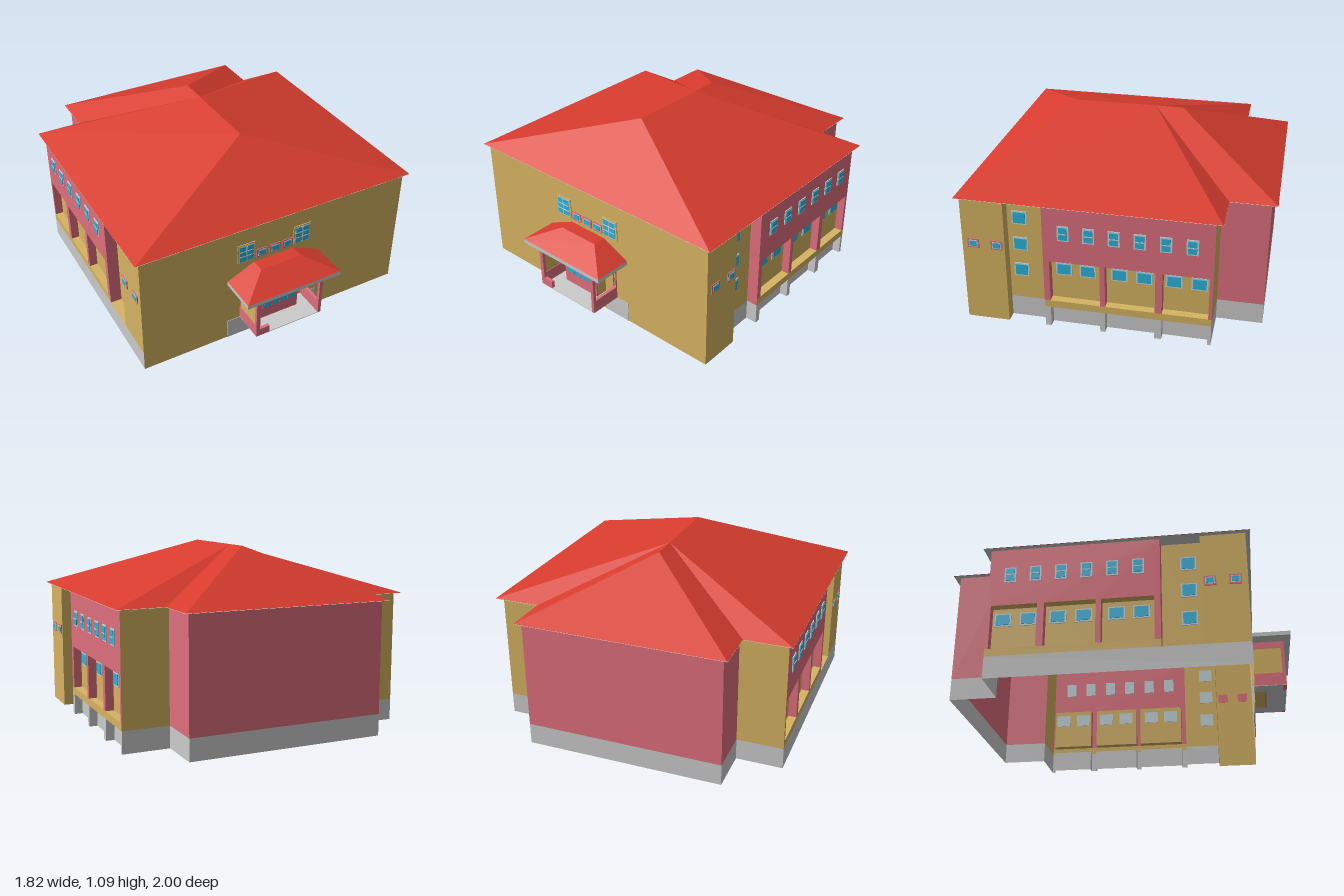
import * as THREE from 'three';

const GOLD = 0xd6b362, PINK = 0xdf6f7d, RED = 0xd83c2e, BLUE = 0x2ab4dc, PALE = 0xc4d6dc, GREY = 0xcccccc;
const H = 0.8, BASE = 0.13, X = 0.88, FRONT = 0.765, BACK = -0.69;
const ALCOVES = [[0.25, -0.045], [-0.075, -0.365], [-0.405, -0.67]];
const SILL = 0.175, HEAD = 0.44, IN = 0.83;

const mats = {};
const mat = (color) => (mats[color] ??= new THREE.MeshStandardMaterial({ color, side: THREE.DoubleSide, flatShading: true }));

function add(parent, name, geometry, color) {
  const mesh = new THREE.Mesh(geometry, mat(color));
  mesh.name = name;
  parent.add(mesh);
  return mesh;
}

// Box given by its limits
function box(parent, name, color, x0, x1, y0, y1, z0, z1) {
  const g = new THREE.BoxGeometry(Math.abs(x1 - x0), y1 - y0, Math.abs(z1 - z0));
  g.translate((x0 + x1) / 2, (y0 + y1) / 2, (z0 + z1) / 2);
  return add(parent, name, g, color);
}

// Flat-shaded surface from polygons, each fanned into triangles
function facets(parent, name, color, polys) {
  const pos = [];
  for (const p of polys)
    for (let i = 1; i < p.length - 1; i++) pos.push(...p[0], ...p[i], ...p[i + 1]);
  const g = new THREE.BufferGeometry();
  g.setAttribute('position', new THREE.Float32BufferAttribute(pos, 3));
  g.computeVertexNormals();
  return add(parent, name, g, color);
}

// Vertical wall along a plan path of [x, z] points
function wall(parent, name, color, path, y0, y1) {
  const polys = [];
  for (let i = 0; i < path.length - 1; i++) {
    const [a, b] = path[i], [c, d] = path[i + 1];
    polys.push([[a, y0, b], [c, y0, d], [c, y1, d], [a, y1, b]]);
  }
  return facets(parent, name, color, polys);
}

const rect = (C, u0, u1, v0, v1) =>
  new C([[u0, v0], [u1, v0], [u1, v1], [u0, v1]].map(([u, v]) => new THREE.Vector2(u, v)));

// Wall in the z-y plane with rectangular holes
function sidePanel(parent, name, color, x, limits, holes) {
  const shape = rect(THREE.Shape, ...limits);
  holes.forEach((h) => shape.holes.push(rect(THREE.Path, ...h)));
  const g = new THREE.ShapeGeometry(shape);
  g.rotateY(-Math.PI / 2).translate(x, 0, 0);
  return add(parent, name, g, color);
}

// Framed window facing +z, turned to face along x by side
function windowUnit(parent, name, [x, y, z], w, h, { frame = PALE, side = 0, cols = 1, rows = 1, inner = false } = {}) {
  const g = new THREE.Group();
  g.name = name;
  box(g, 'frame', frame, -w / 2, w / 2, -h / 2, h / 2, -0.004, 0.005);
  const e = 0.008;
  if (inner) box(g, 'innerFrame', PALE, -w / 2 + e, w / 2 - e, -h / 2 + e, h / 2 - e, 0, 0.007);
  const m = inner ? 0.013 : 0.009, pw = w - 2 * m, ph = h - 2 * m;
  box(g, 'glass', BLUE, -pw / 2, pw / 2, -ph / 2, ph / 2, 0, 0.009);
  for (let i = 1; i < cols; i++) {
    const u = -pw / 2 + (pw * i) / cols;
    box(g, 'bar', frame === GOLD ? PALE : frame, u - 0.003, u + 0.003, -ph / 2, ph / 2, 0, 0.011);
  }
  for (let i = 1; i < rows; i++) {
    const v = -ph / 2 + (ph * i) / rows;
    box(g, 'bar', frame === GOLD ? PALE : frame, -pw / 2, pw / 2, v - 0.003, v + 0.003, 0, 0.011);
  }
  g.position.set(x, y, z);
  g.rotation.y = (side * Math.PI) / 2;
  parent.add(g);
}

function sideWing(s) {
  const g = new THREE.Group();
  g.name = s > 0 ? 'leftSide' : 'rightSide';
  const x = s * X, xi = s * IN, xr = s * 0.81;
  // Corner block and recessed stair bay
  wall(g, 'cornerBlock', GOLD, [[x, FRONT], [x, 0.51], [xr, 0.51], [xr, 0.285]], BASE, H);
  wall(g, 'bayReturn', PINK, [[xr, 0.285], [x, 0.285]], BASE, H);
  // Long wall with three alcoves over a sill band
  sidePanel(g, 'longWall', PINK, x, [BACK, 0.285, SILL, H], ALCOVES.map(([a, b]) => [b, a, SILL, HEAD]));
  wall(g, 'sillBand', GOLD, [[x, 0.285], [x, BACK]], BASE, SILL);
  for (const [a, b] of ALCOVES) {
    wall(g, 'alcoveBack', GOLD, [[xi, a], [xi, b]], SILL, HEAD);
    for (const z of [a, b]) wall(g, 'alcoveReveal', PINK, [[x, z], [xi, z]], SILL, HEAD);
    for (const y of [SILL, HEAD]) facets(g, 'alcoveLedge', GOLD, [[[x, y, a], [xi, y, a], [xi, y, b], [x, y, b]]]);
  }
  // Plinth: stepped behind piers on one side, flush on the other
  if (s > 0) {
    wall(g, 'cornerFoot', GOLD, [[x, FRONT], [x, 0.51], [xr, 0.51]], 0, BASE);
    const path = [[xr, 0.51], [xr, 0.285], [x, 0.285]];
    for (const [a, b] of ALCOVES) {
      path.push([x, a], [xi, a], [xi, b], [x, b]);
      facets(g, 'plinthSoffit', GOLD, [[[x, BASE, a], [xi, BASE, a], [xi, BASE, b], [x, BASE, b]]]);
    }
    path.push([x, BACK]);
    wall(g, 'plinth', GREY, path, 0, BASE);
  } else {
    wall(g, 'plinth', GREY, [[x, FRONT], [x, BACK]], 0, BASE);
    facets(g, 'bayFloor', GOLD, [[[x, BASE, 0.51], [xr, BASE, 0.51], [xr, BASE, 0.285], [x, BASE, 0.285]]]);
  }
  // Rear return wall beside the back wing
  wall(g, 'rearReturn', GOLD, [[x, BACK], [s * 0.6, BACK]], BASE, H);
  wall(g, 'rearReturnPlinth', GREY, [[x, BACK], [s * 0.6, BACK]], 0, BASE);
  // Windows
  for (let i = 0; i < 6; i++)
    windowUnit(g, 'upperWindow', [x, 0.63, 0.162 - 0.146 * i], 0.068, 0.095, { side: s, rows: 2 });
  for (const z of [0.175, 0.035, -0.15, -0.295, -0.465, -0.61])
    windowUnit(g, 'lowerWindow', [xi, 0.37, z], 0.095, 0.08, { side: s });
  for (const y of [0.665, 0.495, 0.322]) windowUnit(g, 'stairWindow', [xr, y, 0.437], 0.09, 0.085, { side: s });
  for (const z of [0.697, 0.557])
    windowUnit(g, 'smallWindow', [x, 0.508, z], 0.068, 0.058, { side: s, frame: PINK, inner: true });
  return g;
}

function porch() {
  const g = new THREE.Group();
  g.name = 'porch';
  const zf = 0.96, top = 0.415;
  // Ground-level grey wall patches
  box(g, 'plinthPatch', GREY, -0.335, 0.09, 0, BASE, FRONT - 0.003, FRONT + 0.003);
  box(g, 'plinthPatch', GREY, 0.11, 0.29, 0, BASE, FRONT - 0.003, FRONT + 0.003);
  box(g, 'doorBacking', GREY, -0.15, 0.1, 0, 0.42, FRONT - 0.006, FRONT - 0.002);
  box(g, 'floor', GREY, -0.25, 0.2, BASE, BASE + 0.004, FRONT, zf);
  // Front posts, lintel and low rail
  box(g, 'post', PINK, -0.25, -0.225, BASE, top, zf - 0.02, zf);
  box(g, 'post', PINK, 0.18, 0.2, BASE, top, zf - 0.02, zf);
  box(g, 'lintel', PINK, -0.25, 0.2, 0.37, top, zf - 0.02, zf);
  box(g, 'rail', PINK, -0.225, -0.16, BASE, 0.18, zf - 0.02, zf);
  // Side walls, one with an open window and one with a filled panel
  for (const x of [-0.25, -0.23, 0.18, 0.2])
    sidePanel(g, 'sideWall', PINK, x, [FRONT, zf, BASE, top], [[0.775, 0.943, 0.21, 0.37]]);
  for (const x of [-0.25, 0.18]) box(g, 'parapetTop', PINK, x, x + 0.02, 0.2, 0.21, FRONT, zf);
  box(g, 'infillPanel', GOLD, -0.246, -0.234, 0.2, 0.38, 0.77, 0.95);
  // Entrance
  box(g, 'vestibule', GOLD, -0.16, 0.105, BASE, top, FRONT, 0.835);
  box(g, 'doorSurround', PINK, -0.16, 0.105, BASE, top, 0.835, 0.842);
  windowUnit(g, 'door', [-0.022, 0.292, 0.842], 0.24, 0.168, { frame: PINK, cols: 4, rows: 3 });
  // Hipped roof on a grey slab
  box(g, 'roofSlab', GREY, -0.335, 0.29, top, 0.44, FRONT, 1);
  const a = [-0.335, 0.44, FRONT], b = [-0.335, 0.44, 1], c = [0.29, 0.44, 1], d = [0.29, 0.44, FRONT];
  const e = [-0.16, 0.52, 0.845], f = [0.11, 0.52, 0.845], h = [-0.16, 0.52, FRONT], k = [0.11, 0.52, FRONT];
  facets(g, 'porchRoof', RED, [[b, c, f, e], [a, b, e, h], [c, d, k, f], [h, e, f, k]]);
  return g;
}

function mainRoof(parent) {
  const R = 1.09, A = [0, R, 0.305], B = [0, R, -0.2], C = [0, R, -0.37];
  const p = (x, z) => [x, H, z];
  const polys = [[p(-0.91, 0.79), p(0.91, 0.79), A], [p(0.63, -1), p(-0.63, -1), C]];
  for (const s of [1, -1]) {
    const half = [
      [p(s * 0.91, 0.79), p(s * 0.91, -0.73), B, A],
      [p(s * 0.91, -0.73), p(s * 0.63, -0.73), B],
      [p(s * 0.63, -0.73), p(s * 0.63, -1), C, B],
    ];
    polys.push(...(s > 0 ? half : half.map((q) => q.reverse())));
  }
  facets(parent, 'roof', RED, polys);
  // Ceiling and eave underside
  const y = H - 0.002;
  facets(parent, 'ceiling', GREY, [
    [[-0.91, y, -0.73], [0.91, y, -0.73], [0.91, y, 0.79], [-0.91, y, 0.79]],
    [[-0.63, y, -1], [0.63, y, -1], [0.63, y, -0.73], [-0.63, y, -0.73]],
  ]);
}

export function createModel() {
  const model = new THREE.Group();
  model.name = 'building';
  // Front wall and its windows
  wall(model, 'frontWall', GOLD, [[-X, FRONT], [X, FRONT]], 0, H);
  for (const x of [-0.215, 0.162])
    windowUnit(model, 'gridWindow', [x, 0.61, FRONT], 0.118, 0.13, { frame: GOLD, cols: 2, rows: 3, inner: true });
  for (const x of [-0.11, -0.022, 0.064])
    windowUnit(model, 'smallFrontWindow', [x, 0.577, FRONT], 0.07, 0.058, { frame: PINK, inner: true });
  model.add(sideWing(1), sideWing(-1), porch());
  // Back wing
  const wing = [[0.6, BACK], [0.6, -0.965], [-0.6, -0.965], [-0.6, BACK]];
  wall(model, 'backWing', PINK, wing, BASE, H);
  wall(model, 'backWingPlinth', GREY, wing, 0, BASE);
  mainRoof(model);
  return model;
}
